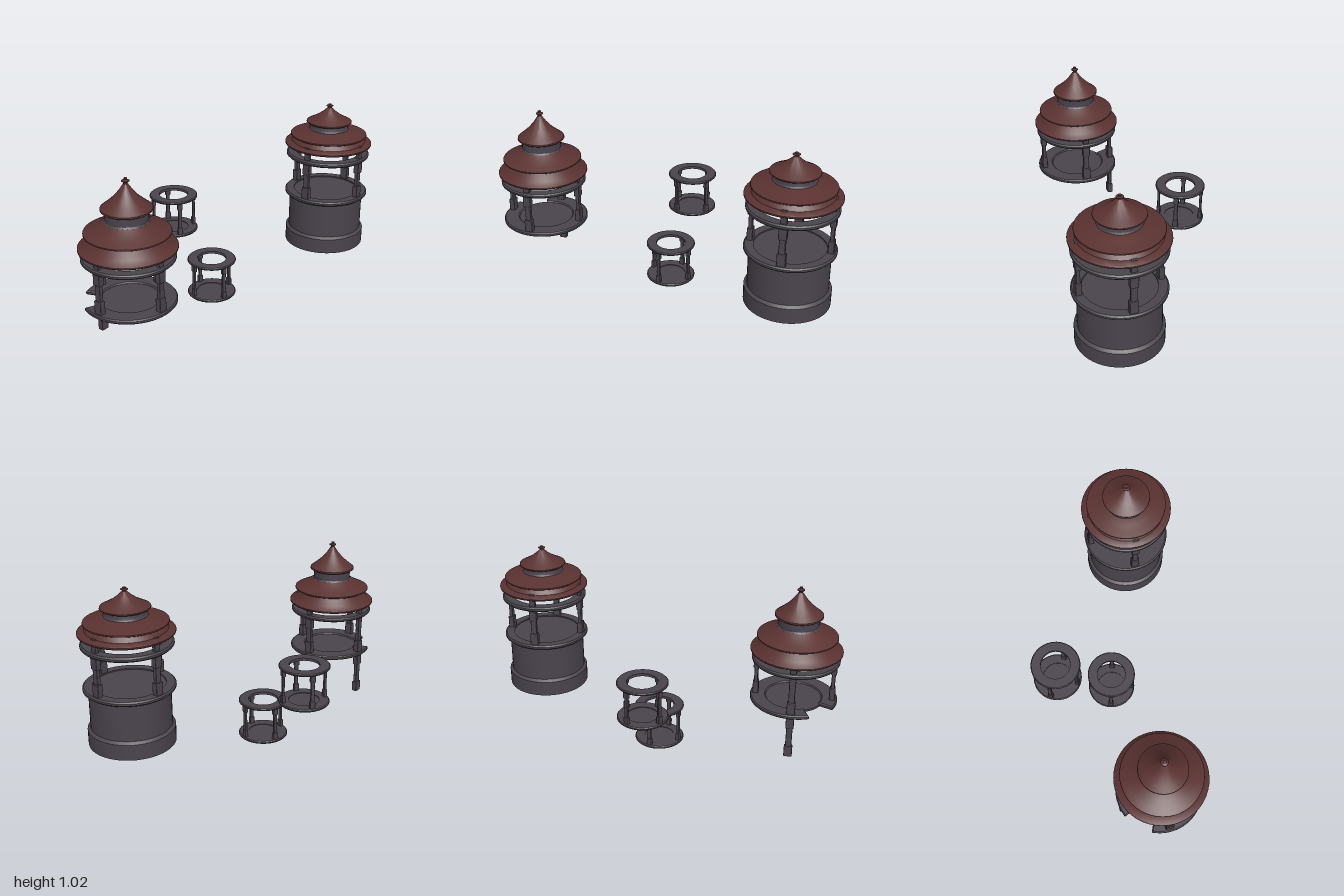
import * as THREE from 'three';
import { toCreasedNormals } from 'three/addons/utils/BufferGeometryUtils.js';
import { RoundedBoxGeometry } from 'three/addons/geometries/RoundedBoxGeometry.js';

const stone = new THREE.MeshStandardMaterial({ color: 0x4a444d });
stone.name = 'dark stone';
const tile = new THREE.MeshStandardMaterial({ color: 0x5a3231 });
tile.name = 'red roof tile';

function addMesh(parent, name, geometry, material) {
  const mesh = new THREE.Mesh(geometry, material);
  mesh.name = name;
  parent.add(mesh);
  return mesh;
}

// Revolved part; profile runs up the outside as [radius, height]
function turned(parent, name, profile, material, segments = 48) {
  const points = profile.map(([r, y]) => new THREE.Vector2(r, y));
  const geometry = toCreasedNormals(new THREE.LatheGeometry(points, segments), 0.6);
  return addMesh(parent, name, geometry, material);
}

// Flat ring with rounded outer edge
function ring(parent, name, inner, outer, y0, y1) {
  const h = y1 - y0, c = h * 0.3;
  return turned(parent, name, [
    [inner, y1], [inner, y0], [outer - c, y0], [outer, y0 + c],
    [outer, y1 - c], [outer - c, y1], [inner, y1],
  ], stone);
}

function disc(parent, name, r, y0, y1) {
  return turned(parent, name, [[0, y0], [r, y0], [r, y1], [0, y1]], stone);
}

// Post from stacked blocks [bottom, top, width, depth], turned to face outwards
function post(parent, name, radius, angle, blocks) {
  const group = new THREE.Group();
  group.name = name;
  group.position.set(Math.sin(angle) * radius, 0, Math.cos(angle) * radius);
  group.rotation.y = angle;
  for (const [y0, y1, w, d] of blocks) {
    const block = addMesh(group, 'postBlock', new RoundedBoxGeometry(w, y1 - y0, d, 1, 0.004), stone);
    block.position.y = (y0 + y1) / 2;
  }
  parent.add(group);
}

// Three-tier roof; heights: eave, mid rim, mid top, drum top, cone base, cone tip
function roof(parent, { eave, mid, midTop, drumTop, coneBase, tip, finial }) {
  const group = new THREE.Group();
  group.name = 'roof';
  parent.add(group);
  turned(group, 'lowerRoof', [
    [0, eave + 0.02], [0.21, eave + 0.02], [0.21, eave], [0.246, eave], [0.252, eave + 0.005],
    [0.252, eave + 0.012], [0.246, eave + 0.017], [0.215, eave + 0.35 * (mid - eave) + 0.005],
    [0.187, mid + 0.003], [0, mid + 0.003],
  ], tile);
  const rise = midTop - mid - 0.012;
  turned(group, 'middleRoof', [
    [0, mid], [0.215, mid], [0.221, mid + 0.004], [0.22, mid + 0.01],
    [0.19, mid + 0.012 + rise * 0.22], [0.15, mid + 0.012 + rise * 0.55],
    [0.115, midTop], [0, midTop],
  ], tile);
  turned(group, 'drum', [
    [0.117, midTop - 0.003], [0.109, midTop + 0.008], [0.108, drumTop],
  ], stone);
  const climb = tip - coneBase;
  turned(group, 'topRoof', [
    [0, drumTop], [0.125, drumTop], [0.131, drumTop + 0.005], [0.13, coneBase],
    [0.1, coneBase + climb * 0.19], [0.066, coneBase + climb * 0.43],
    [0.035, coneBase + climb * 0.72], [0.012, tip],
  ], tile);
  const f = finial - tip;
  turned(group, 'finial', [
    [0.011, tip - 0.003], [0.011, tip + f * 0.2], [0.02, tip + f * 0.38],
    [0.02, tip + f * 0.5], [0.009, tip + f * 0.68], [0.009, tip + f * 0.9], [0, finial],
  ], tile, 16);
}

// Pavilion on a solid round tower
function tower() {
  const group = new THREE.Group();
  group.name = 'tower';
  turned(group, 'towerWall', [
    [0.2, 0.475], [0.2, 0.262], [0.222, 0.25], [0.222, 0.165], [0.232, 0.165],
    [0.232, 0.252], [0.216, 0.265], [0.215, 0.475],
  ], stone);
  ring(group, 'floorRing', 0.19, 0.243, 0.47, 0.495);
  disc(group, 'floor', 0.2, 0.472, 0.488);
  ring(group, 'beamRing', 0.185, 0.241, 0.707, 0.733);
  for (let i = 0; i < 4; i++) {
    post(group, 'post', 0.212, i * Math.PI / 2, [
      [0.49, 0.562, 0.046, 0.032], [0.555, 0.65, 0.034, 0.021],
      [0.643, 0.715, 0.044, 0.032], [0.71, 0.805, 0.034, 0.021],
    ]);
  }
  roof(group, { eave: 0.778, mid: 0.832, midTop: 0.873, drumTop: 0.908, coneBase: 0.918, tip: 0.998, finial: 1.02 });
  return group;
}

// Open pavilion with a broken floor and one post hanging below it
function ruinedPavilion() {
  const group = new THREE.Group();
  group.name = 'ruinedPavilion';
  const start = THREE.MathUtils.degToRad(157), end = THREE.MathUtils.degToRad(473);
  const shape = new THREE.Shape();
  shape.absarc(0, 0, 0.236, start, end, false);
  shape.absarc(0, 0, 0.16, end, start, true);
  const floor = new THREE.ExtrudeGeometry(shape, {
    depth: 0.011, bevelThickness: 0.006, bevelSize: 0.006, bevelSegments: 1, curveSegments: 44,
  });
  floor.rotateX(-Math.PI / 2).translate(0, 0.3, 0);
  addMesh(group, 'brokenFloorRing', toCreasedNormals(floor, 0.6), stone);
  disc(group, 'floor', 0.165, 0.298, 0.31);
  ring(group, 'beamRing', 0.185, 0.241, 0.537, 0.561);
  for (let i = 0; i < 4; i++) {
    post(group, 'post', 0.212, i * Math.PI / 2, [
      [0.31, 0.386, 0.046, 0.032], [0.38, 0.48, 0.034, 0.021],
      [0.472, 0.545, i === 2 ? 0.036 : 0.044, i === 2 ? 0.023 : 0.032], [0.54, 0.625, 0.034, 0.021],
    ]);
  }
  post(group, 'hangingPost', 0.212, Math.PI, [
    [0.05, 0.112, 0.046, 0.032], [0.105, 0.235, 0.034, 0.021], [0.227, 0.32, 0.044, 0.032],
  ]);
  roof(group, { eave: 0.595, mid: 0.678, midTop: 0.745, drumTop: 0.8, coneBase: 0.813, tip: 0.937, finial: 0.97 });
  return group;
}

// Small round frame: solid base, four posts and an open top ring
function roundFrame(y, angle) {
  const group = new THREE.Group();
  group.name = 'roundFrame';
  ring(group, 'baseRing', 0.083, 0.139, 0, 0.016);
  disc(group, 'baseFloor', 0.09, 0.002, 0.012);
  ring(group, 'topRing', 0.083, 0.139, 0.206, 0.221);
  for (let i = 0; i < 4; i++) {
    post(group, 'post', 0.121, angle + i * Math.PI / 2, [
      [0.012, 0.056, 0.03, 0.021], [0.05, 0.175, 0.022, 0.014], [0.167, 0.21, 0.03, 0.021],
    ]);
  }
  group.position.y = y;
  return group;
}

export function createModel() {
  const model = new THREE.Group();
  model.name = 'pavilionSet';
  const place = (part, x, z) => {
    part.position.x = x;
    part.position.z = z;
    model.add(part);
  };
  place(tower(), 0.746, 0.236);
  place(ruinedPavilion(), -0.748, 0.041);
  place(roundFrame(0.308, Math.atan2(0.105, 0.063)), 0.028, -0.354);
  place(roundFrame(0, Math.atan2(0.119, 0.034)), 0, -0.042);
  return model;
}
